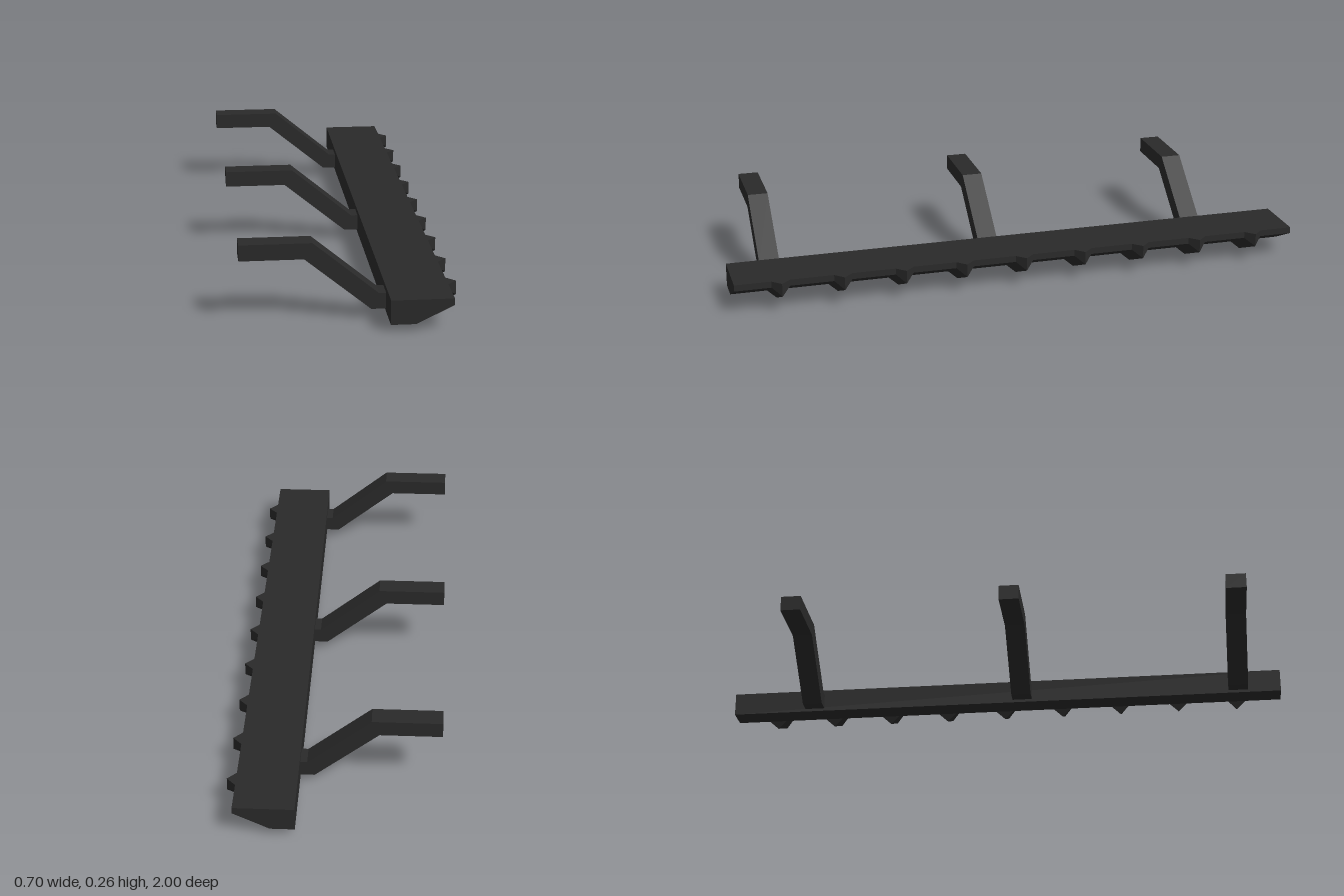
import * as THREE from 'three';

const material = new THREE.MeshStandardMaterial({ color: 0x2a2a2a, flatShading: true });

// Extrude an x/y profile along z, centred on z = 0
function extrudeProfile(points, depth) {
  const shape = new THREE.Shape(points.map(([x, y]) => new THREE.Vector2(x, y)));
  const geometry = new THREE.ExtrudeGeometry(shape, { depth, bevelEnabled: false });
  return geometry.translate(0, 0, -depth / 2);
}

// V-shaped tooth: triangular sections swept along the slope and up the edge
function toothGeometry(half) {
  const base = [[0.197, 0.026], [0.317, 0.085], [0.317, 0.107]];
  const ridge = [[0.206, 0], [0.347, 0.061], [0.347, 0.107]];
  const sections = base.map((b, i) => [[...b, -half], [...ridge[i], 0], [...b, half]]);
  const positions = [];
  const tri = (a, b, c) => positions.push(...a, ...b, ...c);
  for (let i = 0; i < 2; i++) {
    const [a, b] = [sections[i], sections[i + 1]];
    for (let j = 0; j < 2; j++) {
      tri(a[j], b[j], b[j + 1]);
      tri(a[j], b[j + 1], a[j + 1]);
    }
  }
  tri(...sections[0]);
  tri(...[...sections[2]].reverse());
  const geometry = new THREE.BufferGeometry();
  geometry.setAttribute('position', new THREE.Float32BufferAttribute(positions, 3));
  geometry.computeVertexNormals();
  return geometry;
}

export function createModel() {
  const model = new THREE.Group();
  const add = (geometry, name, z = 0) => {
    const mesh = new THREE.Mesh(geometry, material);
    mesh.name = name;
    mesh.position.z = z;
    model.add(mesh);
  };

  // Long beam with a sloped underside
  add(extrudeProfile([
    [0.117, 0.026], [0.197, 0.026], [0.317, 0.085], [0.317, 0.107], [0.117, 0.107],
  ], 2), 'beam');

  // Cranked support arms
  const arm = extrudeProfile([
    [-0.349, 0.21], [-0.143, 0.21], [0.07, 0.036], [0.12, 0.036],
    [0.12, 0.089], [0.094, 0.089], [-0.117, 0.263], [-0.349, 0.263],
  ], 0.07);
  [-0.7, 0.067, 0.848].forEach((z, i) => add(arm, `arm${i + 1}`, z));

  // Row of teeth under the sloped edge
  const tooth = toothGeometry(0.031);
  for (let i = 0; i < 9; i++) add(tooth, `tooth${i + 1}`, -0.854 + i * 0.2122);

  return model;
}
